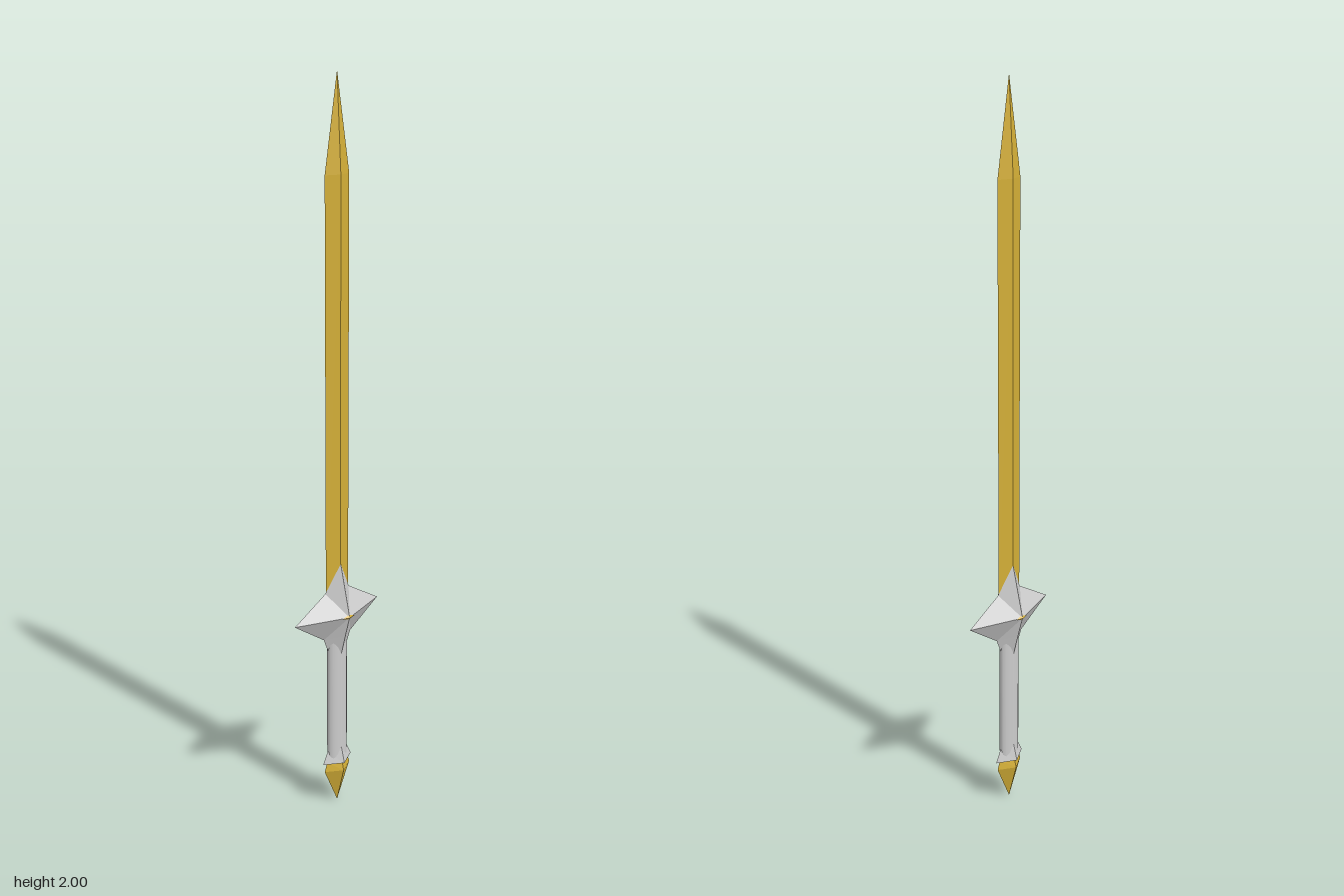
import * as THREE from 'three';

const gold = new THREE.MeshStandardMaterial({ color: 0xd4af37, flatShading: true });
const grey = new THREE.MeshStandardMaterial({ color: 0xcccccc, flatShading: true });
const smoothGrey = new THREE.MeshStandardMaterial({ color: 0xcccccc });

// Diamond loft from bottom to top. Each ring is [half width, its y, half depth, its y];
// every quad is split along its shorter diagonal, so uneven rings form valleys.
function diamondLoft(name, rings, material) {
  const loops = rings.map(([x, xy, z, zy]) => [
    new THREE.Vector3(x, xy, 0), new THREE.Vector3(0, zy, z),
    new THREE.Vector3(-x, xy, 0), new THREE.Vector3(0, zy, -z),
  ]);
  const points = [];
  const tri = (a, b, c) => {
    if (!a.equals(b) && !b.equals(c) && !c.equals(a)) points.push(a, b, c);
  };
  for (let r = 0; r < loops.length - 1; r++) {
    for (let i = 0; i < 4; i++) {
      const j = (i + 1) % 4;
      const a = loops[r][i], b = loops[r][j], c = loops[r + 1][j], d = loops[r + 1][i];
      if (a.distanceTo(c) < b.distanceTo(d)) {
        tri(a, d, c);
        tri(a, c, b);
      } else {
        tri(a, d, b);
        tri(d, c, b);
      }
    }
  }
  const geometry = new THREE.BufferGeometry().setFromPoints(points);
  geometry.computeVertexNormals();
  const mesh = new THREE.Mesh(geometry, material);
  mesh.name = name;
  return mesh;
}

export function createModel() {
  const sword = new THREE.Group();
  sword.name = 'sword';

  // Blade with a central ridge and a tapered point
  sword.add(diamondLoft('blade', [
    [0.04, 0.58, 0.014, 0.58],
    [0.04, 1.755, 0.014, 1.755],
    [0, 2, 0, 2],
  ], gold));

  // Star-shaped guard, its front and back ridges reaching along blade and grip
  sword.add(diamondLoft('guard', [
    [0.034, 0.48, 0.018, 0.465],
    [0.048, 0.515, 0.034, 0.525],
    [0.149, 0.585, 0.051, 0.585],
    [0.042, 0.65, 0.015, 0.73],
  ], grey));

  // Small gems at the front and back of the guard
  for (const side of [1, -1]) {
    const gem = new THREE.Mesh(new THREE.OctahedronGeometry(1), gold);
    gem.name = side > 0 ? 'frontGem' : 'backGem';
    gem.scale.set(0.02, 0.007, 0.006);
    gem.position.set(0, 0.585, side * 0.047);
    sword.add(gem);
  }

  // Oval grip
  const grip = new THREE.Mesh(new THREE.CylinderGeometry(1, 1, 0.38, 16, 1, true), smoothGrey);
  grip.name = 'grip';
  grip.scale.set(0.033, 1, 0.018);
  grip.position.y = 0.33;
  sword.add(grip);

  // Flared collar under the grip, closed below
  sword.add(diamondLoft('collar', [
    [0, 0.13, 0, 0.13],
    [0.052, 0.13, 0.031, 0.13],
    [0.035, 0.165, 0.019, 0.175],
    [0, 0.175, 0, 0.175],
  ], grey));

  // Pointed pommel
  sword.add(diamondLoft('pommel', [
    [0, 0, 0, 0],
    [0.046, 0.105, 0.028, 0.105],
    [0.037, 0.132, 0.021, 0.132],
  ], gold));

  return sword;
}
